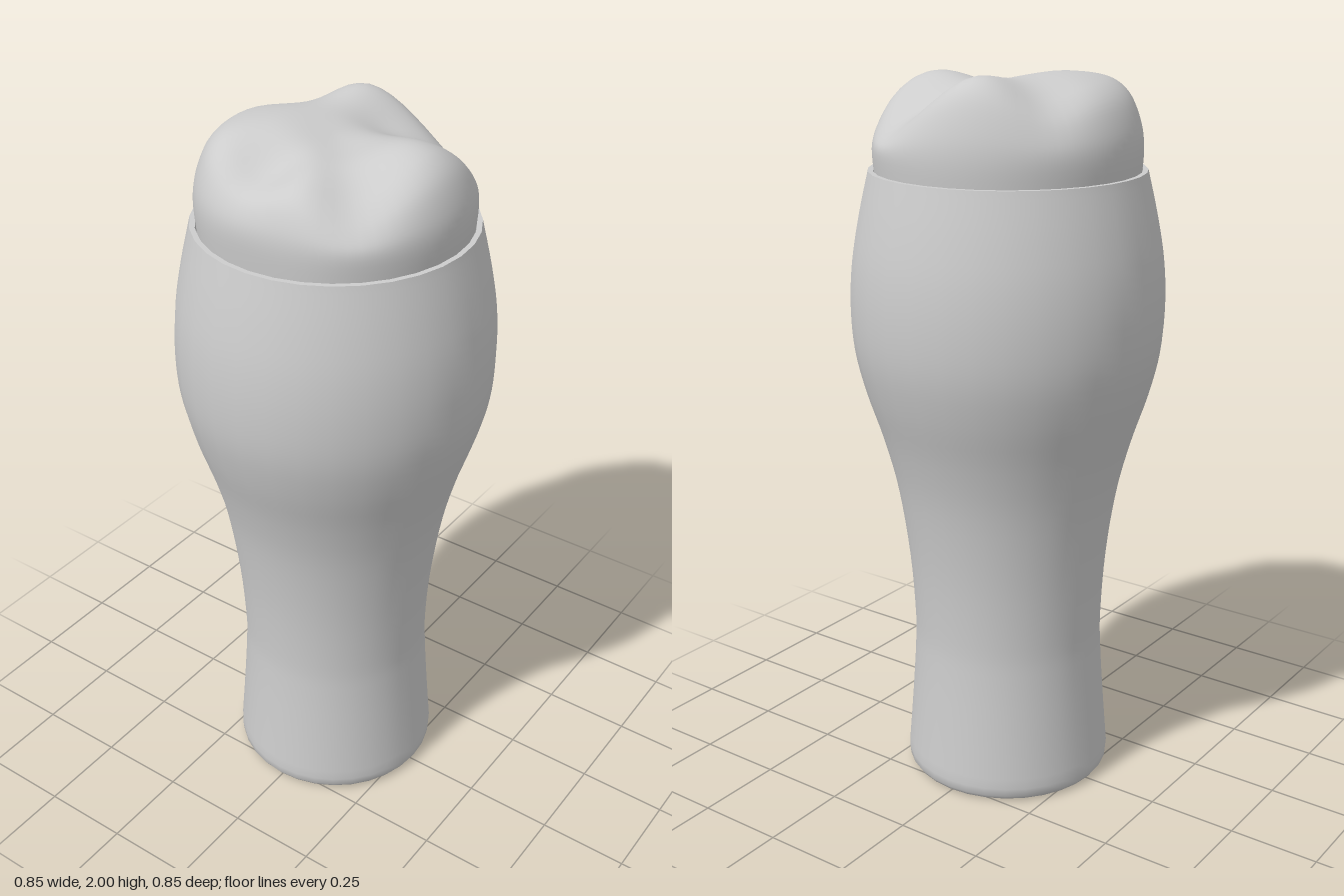
import * as THREE from 'three';
import { mergeVertices, toCreasedNormals } from 'three/addons/utils/BufferGeometryUtils.js';

const v2 = ([x, y]) => new THREE.Vector2(x, y);

// bumps and dips of the froth: x, z, height, spread
const LUMPS = [
  [-0.06, -0.12, 0.025, 0.13], [0.25, -0.08, 0.045, 0.08], [0.02, 0.21, 0.025, 0.08],
  [-0.25, -0.05, -0.06, 0.08], [-0.22, 0.2, -0.07, 0.09], [0.25, 0.17, -0.08, 0.1],
  [-0.04, 0.05, -0.03, 0.08], [0.16, 0.03, -0.03, 0.06], [-0.2, -0.2, 0.01, 0.07],
  [0.18, -0.25, -0.035, 0.07], [-0.22, 0.07, 0.02, 0.06],
];

function frothGeometry() {
  const side = [[0.345, 1.66], [0.352, 1.72], [0.357, 1.8], [0.348, 1.86], [0.322, 1.92], [0.285, 1.955],
    [0.235, 1.972], [0.16, 1.98], [0.08, 1.982], [0, 1.982]];
  const profile = new THREE.SplineCurve(side.map(v2)).getPoints(36);
  profile[36].x = 0;
  let geo = new THREE.LatheGeometry(profile, 64);
  geo.deleteAttribute('uv');
  geo.deleteAttribute('normal');
  geo = mergeVertices(geo, 1e-4);
  const p = geo.attributes.position;
  let top = 0;
  for (let i = 0; i < p.count; i++) {
    const x = p.getX(i), z = p.getZ(i), y = p.getY(i);
    const w = THREE.MathUtils.smoothstep(y, 1.76, 1.95);
    let dy = 0;
    for (const [cx, cz, h, s] of LUMPS) dy += h * Math.exp(-((x - cx) ** 2 + (z - cz) ** 2) / (2 * s * s));
    // the froth is flatter on the model's right
    const a = Math.atan2(z, -x);
    const k = 1 - 0.085 * Math.exp(-(a * a) / 0.25);
    p.setXYZ(i, x * k, y + dy * w, z);
    top = Math.max(top, y + dy * w);
  }
  // bring the highest lump to the full height
  for (let i = 0; i < p.count; i++) {
    const y = p.getY(i);
    if (y > 1.74) p.setY(i, 1.74 + (y - 1.74) * 0.26 / (top - 1.74));
  }
  geo.computeVertexNormals();
  return geo;
}

export function createModel() {
  const model = new THREE.Group();
  const grey = new THREE.MeshStandardMaterial({ color: 0xcccccc });
  grey.name = 'lightGrey';
  const add = (name, geo) => {
    const mesh = new THREE.Mesh(geo, grey);
    mesh.name = name;
    model.add(mesh);
  };

  // curved glass: base, wall, rim and inner lip
  const wall = new THREE.SplineCurve([[0.293, 0.04], [0.28, 0.2], [0.27, 0.35], [0.268, 0.46], [0.28, 0.65],
    [0.308, 0.85], [0.345, 1.0], [0.39, 1.14], [0.418, 1.26], [0.426, 1.38], [0.419, 1.5], [0.398, 1.62],
    [0.37, 1.74]].map(v2)).getPoints(48);
  const outline = [...[[0, 0], [0.268, 0], [0.283, 0.006], [0.291, 0.018]].map(v2), ...wall,
    ...[[0.356, 1.74], [0.364, 1.69], [0.372, 1.64]].map(v2)];
  add('glass', toCreasedNormals(new THREE.LatheGeometry(outline, 32), 0.75));

  // drink surface inside the glass, beneath the froth
  const drink = new THREE.CircleGeometry(0.385, 32).rotateX(-Math.PI / 2).translate(0, 1.65, 0);
  add('drinkSurface', drink);

  add('froth', frothGeometry());
  return model;
}
